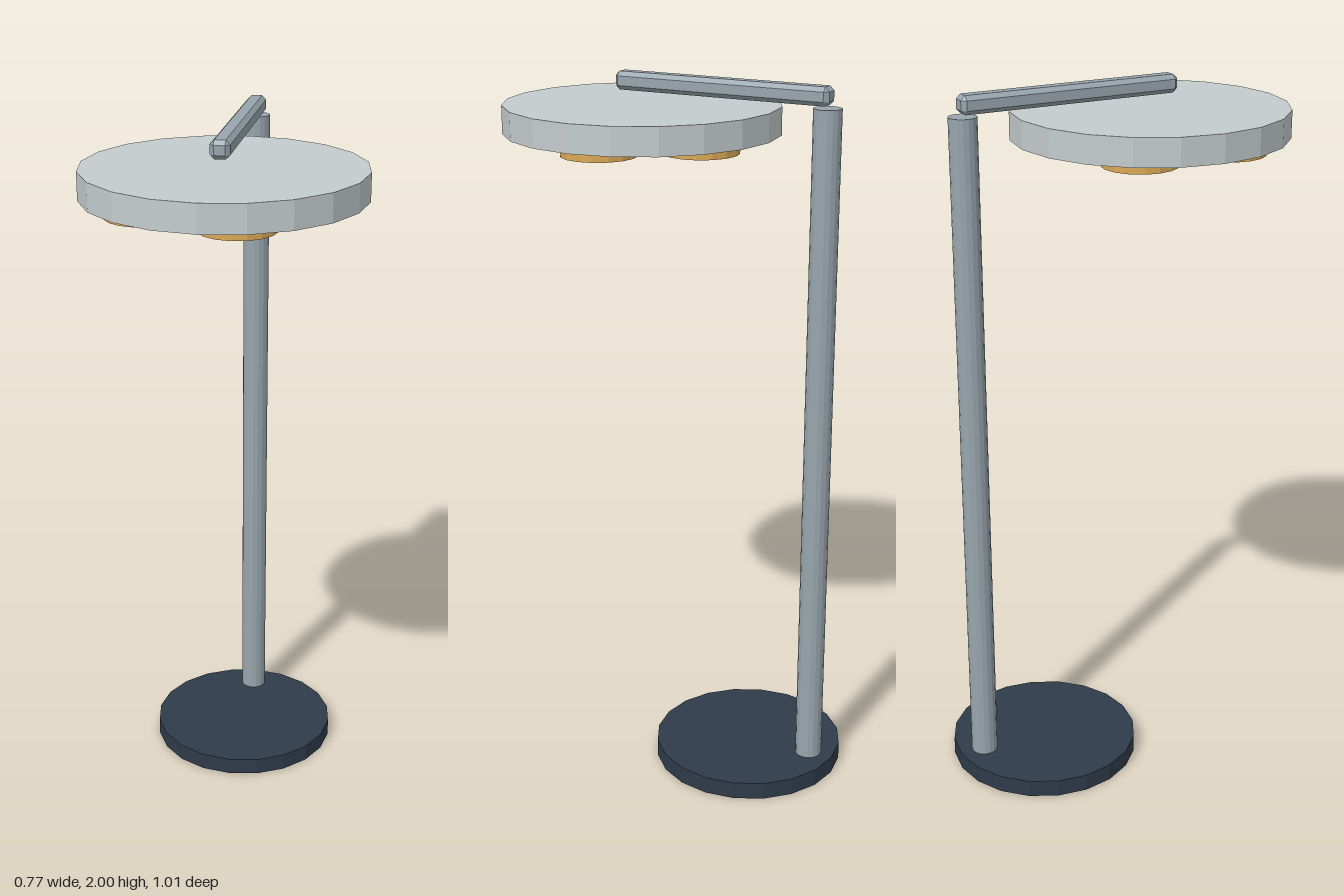
import * as THREE from 'three';
import { ConvexGeometry } from 'three/addons/geometries/ConvexGeometry.js';

const mat = (color) => new THREE.MeshStandardMaterial({ color, flatShading: true });

export function createModel() {
  const model = new THREE.Group();
  model.name = 'floorLamp';

  const darkMetal = mat(0x2f3b4a);
  const steel = mat(0x98a5ad);
  const paleMetal = mat(0xc4ccce);
  const amber = mat(0xdba955);

  // Upright cylinder between two heights
  function disc(name, radius, y0, y1, x, z, sides, material) {
    const mesh = new THREE.Mesh(new THREE.CylinderGeometry(radius, radius, y1 - y0, sides), material);
    mesh.position.set(x, (y0 + y1) / 2, z);
    mesh.name = name;
    model.add(mesh);
  }

  // Box with every edge chamfered
  function chamferedBox(w, h, d, c) {
    const points = [];
    for (const sx of [-1, 1]) for (const sy of [-1, 1]) for (const sz of [-1, 1]) {
      for (let axis = 0; axis < 3; axis++) {
        const half = [w / 2 - c, h / 2 - c, d / 2 - c];
        half[axis] += c;
        points.push(new THREE.Vector3(sx * half[0], sy * half[1], sz * half[2]));
      }
    }
    return new ConvexGeometry(points);
  }

  // Base and pole
  disc('base', 0.274, 0, 0.05, 0, -0.229, 20, darkMetal);
  disc('pole', 0.038, 0.05, 1.944, 0, -0.428, 16, steel);

  // Arm reaching forward over the shade
  const arm = new THREE.Mesh(chamferedBox(0.054, 0.05, 0.634, 0.012), steel);
  arm.position.set(0, 1.975, -0.121);
  arm.name = 'arm';
  model.add(arm);

  // Round lamp head
  const headZ = 0.121;
  disc('lampHead', 0.383, 1.84, 1.917, 0, headZ, 20, paleMetal);

  // Ring of five lights below the head
  for (let i = 0; i < 5; i++) {
    const a = (i / 5) * Math.PI * 2;
    disc('light' + (i + 1), 0.104, 1.811, 1.842, 0.23 * Math.cos(a), headZ + 0.23 * Math.sin(a), 16, amber);
  }

  return model;
}
